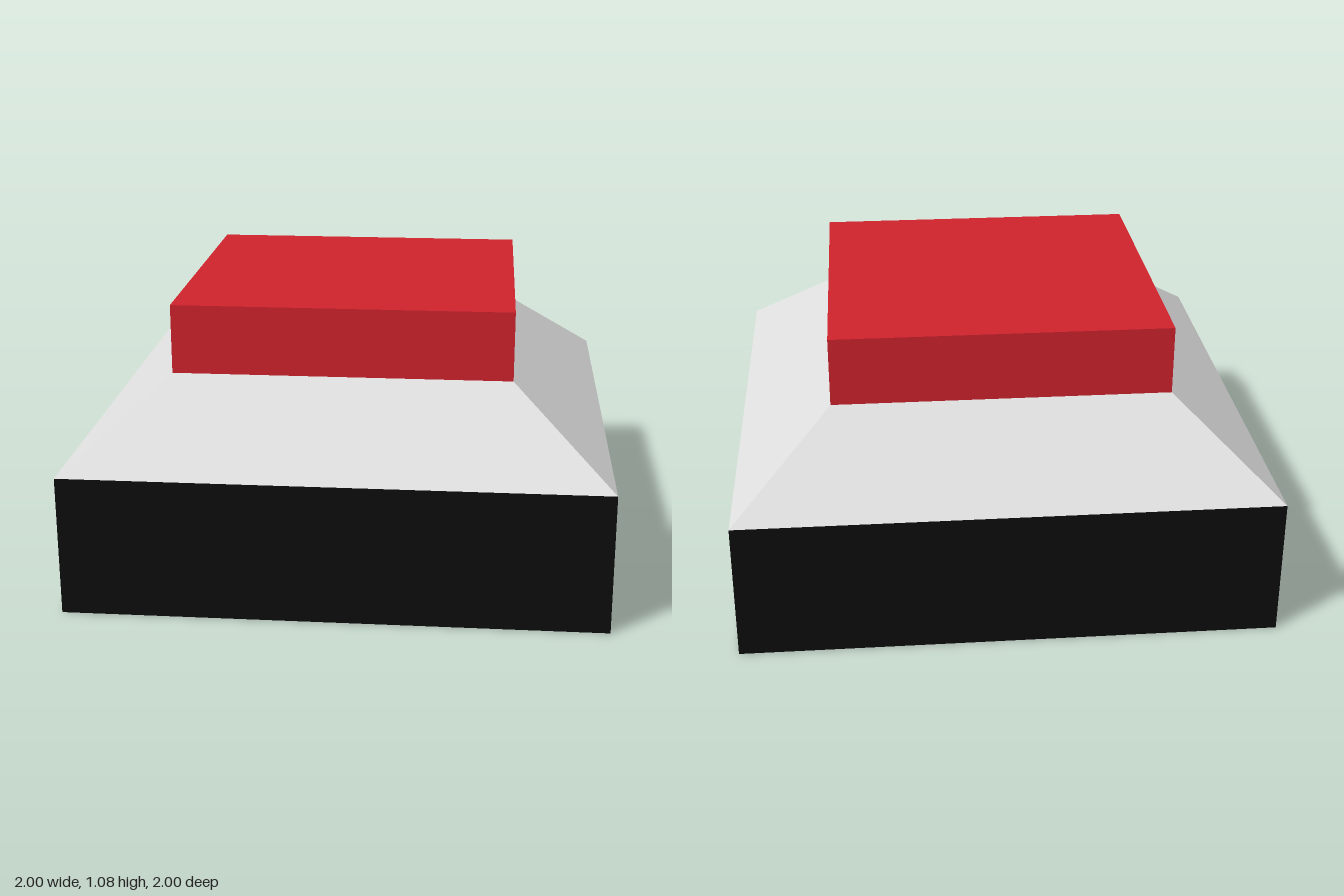
import * as THREE from 'three';

const BASE_TOP = 0.525, SLOPE_TOP = 0.82, TOP = 1.08;
const HALF_BASE = 1, HALF_BUTTON = 0.633;

const material = (name, color) => {
  const m = new THREE.MeshStandardMaterial({ color, flatShading: true });
  m.name = name;
  return m;
};

// Square block from y0 to y1 whose half-width runs from h0 to h1
function squareBlock(name, h0, h1, y0, y1, mat) {
  const geometry = new THREE.CylinderGeometry(h1 * Math.SQRT2, h0 * Math.SQRT2, y1 - y0, 4);
  geometry.rotateY(Math.PI / 4);
  geometry.translate(0, (y0 + y1) / 2, 0);
  const mesh = new THREE.Mesh(geometry, mat);
  mesh.name = name;
  return mesh;
}

export function createModel() {
  const model = new THREE.Group();
  model.name = 'pushButton';
  model.add(
    // Black square base
    squareBlock('base', HALF_BASE, HALF_BASE, 0, BASE_TOP, material('black', 0x0d0d0d)),
    // Sloped grey collar
    squareBlock('collar', HALF_BASE, HALF_BUTTON, BASE_TOP, SLOPE_TOP, material('lightGrey', 0xdedede)),
    // Red button cap
    squareBlock('button', HALF_BUTTON, HALF_BUTTON, SLOPE_TOP, TOP, material('red', 0xd0232d)),
  );
  return model;
}
